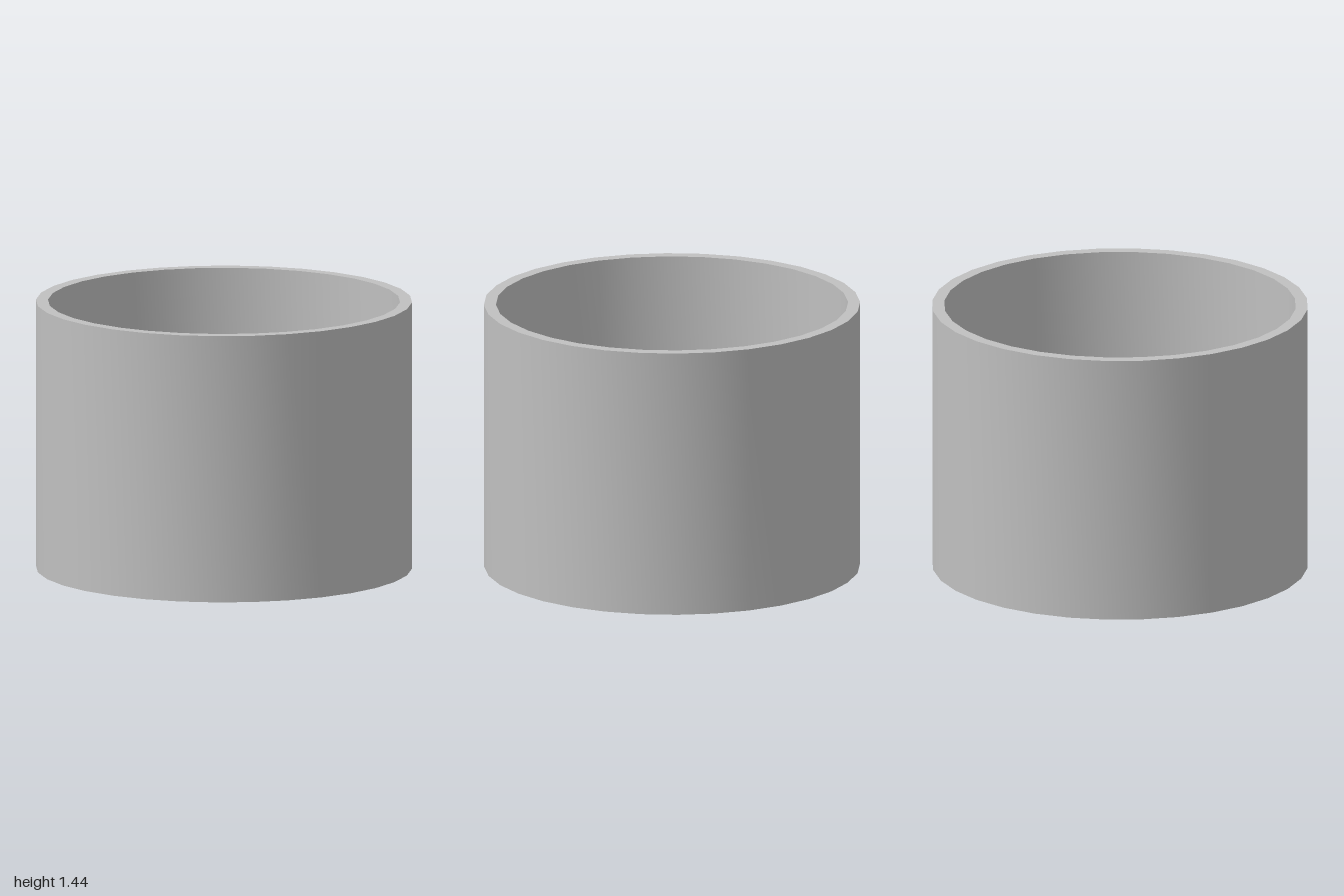
import * as THREE from 'three';
import { toCreasedNormals } from 'three/addons/utils/BufferGeometryUtils.js';

const HEIGHT = 1.44;
const HUB_HEIGHT = 0.48;

// Open tube with wall thickness, standing on y = 0
function ring(inner, outer, height, sides) {
  const profile = [
    [inner, 0], [outer, 0], [outer, height], [inner, height], [inner, 0],
  ].map(([r, y]) => new THREE.Vector2(r, y));
  return toCreasedNormals(new THREE.LatheGeometry(profile, sides), 0.6);
}

export function createModel() {
  const group = new THREE.Group();
  const grey = new THREE.MeshStandardMaterial({ color: 0xc0c0c0 });
  grey.name = 'light grey';

  const add = (name, geometry) => {
    const mesh = new THREE.Mesh(geometry, grey);
    mesh.name = name;
    group.add(mesh);
    return mesh;
  };

  // Tall outer wall and short central hub
  add('outerWall', ring(0.936, 1, HEIGHT, 32));
  add('hub', ring(0.48, 0.535, HUB_HEIGHT, 48));

  // Five radial spokes, the first pointing to the back
  const inner = 0.51, outer = 0.95;
  for (let i = 0; i < 5; i++) {
    const geometry = new THREE.BoxGeometry(0.045, HUB_HEIGHT - 0.002, outer - inner);
    geometry.translate(0, HUB_HEIGHT / 2, -(inner + outer) / 2);
    add(`spoke${i + 1}`, geometry).rotation.y = (i * Math.PI * 2) / 5;
  }
  return group;
}
